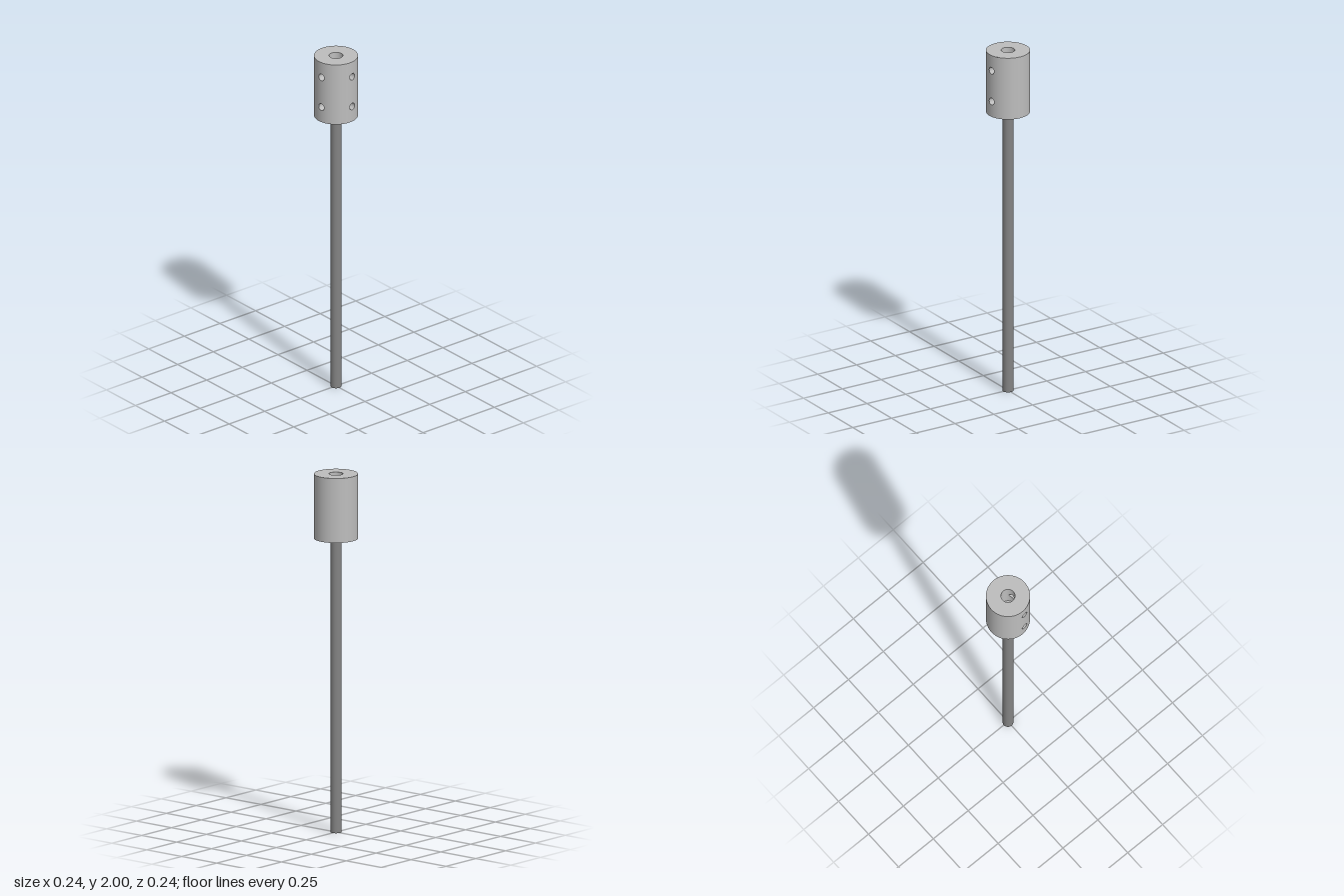
import * as THREE from 'three';
import { ParametricGeometry } from 'three/addons/geometries/ParametricGeometry.js';

const OUTER = 0.12, BORE = 0.038, SHAFT = 0.03;
const BOTTOM = 1.64, LEDGE = 1.82, TOP = 2;
const HOLE = 0.02, HALF_ROW = 0.09;
const HOLE_ANGLES = [-1.415, 0.155]; // around y, measured from +z towards +x

export function createModel() {
  const couplingGrey = new THREE.MeshStandardMaterial({ color: 0xbdbdbd });
  const shaftGrey = new THREE.MeshStandardMaterial({ color: 0x838383 });
  couplingGrey.name = 'couplingGrey';
  shaftGrey.name = 'shaftGrey';
  const boreGrey = couplingGrey.clone();
  boreGrey.name = 'couplingGreyInside';
  boreGrey.side = THREE.BackSide;

  const model = new THREE.Group();
  model.name = 'shaftCoupling';
  const coupling = new THREE.Group();
  coupling.name = 'coupling';
  model.add(coupling);

  const add = (parent, name, geometry, material) => {
    const mesh = new THREE.Mesh(geometry, material);
    mesh.name = name;
    parent.add(mesh);
    return mesh;
  };

  // Curved patch with a round hole: lofts from the hole rim to a rectangle
  const holedPatch = (radius, halfWidth) => new ParametricGeometry((u, v, p) => {
    const a = -u * Math.PI * 2, c = Math.cos(a), s = Math.sin(a);
    const k = 1 / Math.max(Math.abs(c), Math.abs(s));
    const x = THREE.MathUtils.lerp(HOLE * c, halfWidth * c * k, v);
    const y = THREE.MathUtils.lerp(HOLE * s, HALF_ROW * s * k, v);
    p.set(x, y, Math.sqrt(Math.max(0, radius * radius - x * x)));
  }, 48, 5);

  // Inside of a screw hole, from the outer wall to the given inner radius
  const holeTube = (inner) => new ParametricGeometry((u, v, p) => {
    const a = u * Math.PI * 2, x = HOLE * Math.cos(a);
    const z0 = Math.sqrt(OUTER * OUTER - x * x), z1 = Math.sqrt(inner * inner - x * x);
    p.set(x, HOLE * Math.sin(a), THREE.MathUtils.lerp(z0, z1, v));
  }, 32, 1);

  // Cylindrical wall: holed patches with plain arcs between them
  const wall = (name, radius, halfWidth, bottom, rows, material) => {
    const half = Math.asin(halfWidth / radius);
    HOLE_ANGLES.forEach((angle, i) => {
      for (const y of rows) {
        const patch = add(coupling, name + 'HolePatch', holedPatch(radius, halfWidth), material);
        patch.position.y = y;
        patch.rotation.y = angle;
      }
      const next = i === 0 ? HOLE_ANGLES[1] : HOLE_ANGLES[0] + Math.PI * 2;
      const span = next - angle - 2 * half;
      const arc = add(coupling, name + 'Arc', new THREE.CylinderGeometry(radius, radius,
        TOP - bottom, Math.max(4, Math.ceil(span * 12)), 1, true, angle + half, span), material);
      arc.position.y = (TOP + bottom) / 2;
    });
  };
  wall('outerWall', OUTER, 0.04, BOTTOM, [1.73, 1.91], couplingGrey);
  wall('boreWall', BORE, 0.026, LEDGE, [1.91], boreGrey);

  // Screw holes
  for (const angle of HOLE_ANGLES) {
    for (const [y, inner] of [[1.73, SHAFT], [1.91, BORE]]) {
      const tube = add(coupling, 'screwHole', holeTube(inner), couplingGrey);
      tube.position.y = y;
      tube.rotation.y = angle;
    }
  }

  // Flat faces: top, ledge in the bore, underside
  const ring = (name, inner, outer, y, up) => {
    const mesh = add(coupling, name, new THREE.RingGeometry(inner, outer, 96), couplingGrey);
    mesh.rotation.x = up ? -Math.PI / 2 : Math.PI / 2;
    mesh.position.y = y;
  };
  ring('topFace', BORE, OUTER, TOP, true);
  ring('boreLedge', SHAFT - 0.001, BORE, LEDGE, true);
  ring('underside', SHAFT - 0.001, OUTER, BOTTOM, false);

  // Long shaft, ending at the ledge inside the coupling
  const shaft = add(model, 'shaft', new THREE.CylinderGeometry(SHAFT, SHAFT, LEDGE, 32), shaftGrey);
  shaft.position.y = LEDGE / 2;

  return model;
}
